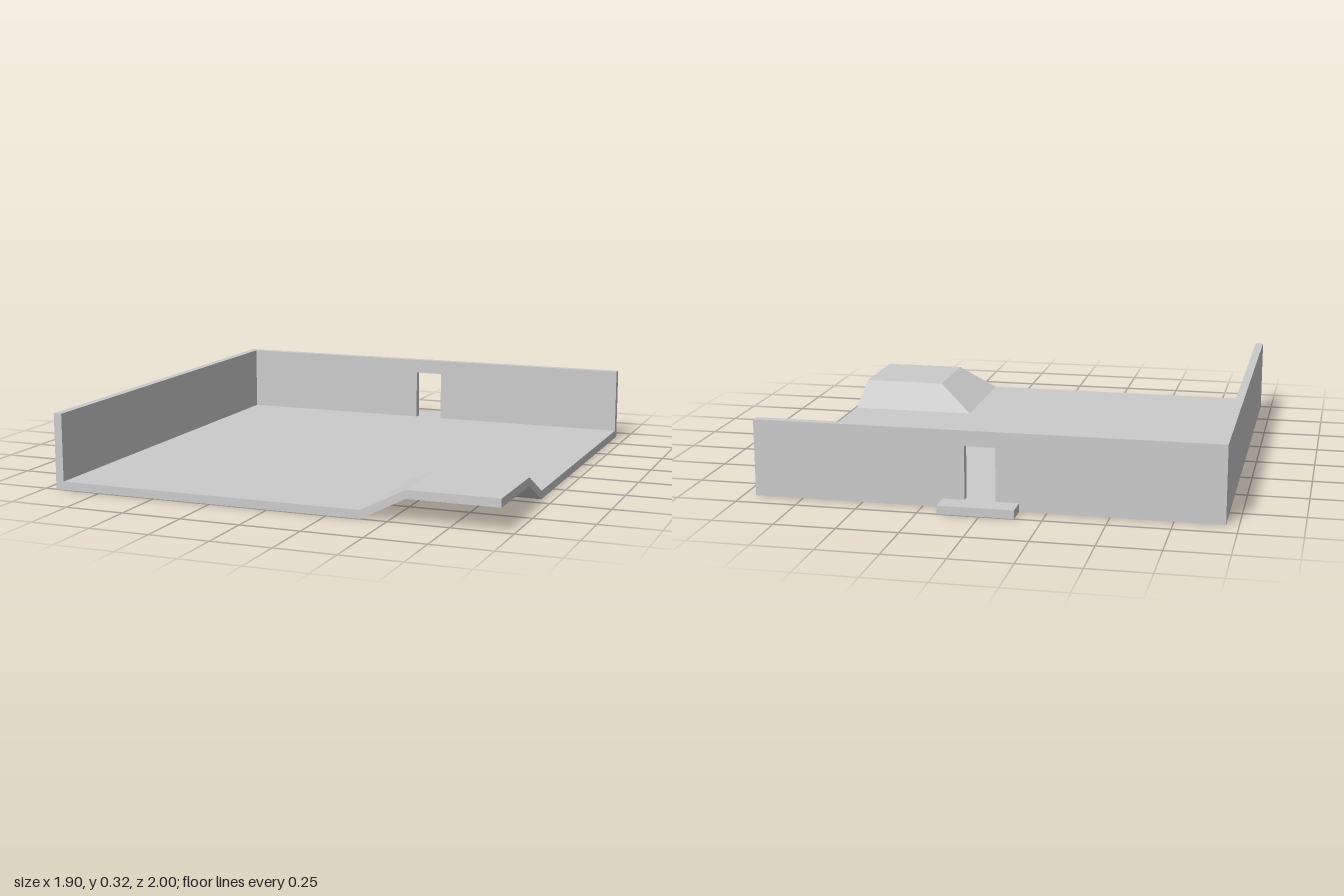
import * as THREE from 'three';

const material = new THREE.MeshStandardMaterial({ color: 0xcccccc, flatShading: true });
const THICK = 0.035, RISE = 0.095, HEIGHT = 0.318;
const X0 = -0.95, X1 = 0.95, Z0 = -0.905, Z1 = 1;

// Floor slab of constant thickness, lifted by ramps into a raised corner platform
function floorGeometry() {
  const xs = [X0, 0.39, 0.575, X1], zs = [Z0, 0.44, 0.625, Z1];
  const pos = [];
  const lift = (i, j) => (i > 1 && j > 1 ? RISE : 0);
  const point = ([i, j], top) => [xs[i], lift(i, j) + (top ? THICK : 0), zs[j]];
  const tri = (a, b, c) => pos.push(...a, ...b, ...c);

  // top and underside, each cell split along the ramp's valley line
  for (let i = 0; i < 3; i++) for (let j = 0; j < 3; j++) {
    const cell = [[i, j], [i, j + 1], [i + 1, j + 1], [i + 1, j]];
    const [a, b, c, d] = cell.map(p => point(p, true));
    tri(a, b, c); tri(a, c, d);
    const [e, f, g, h] = cell.map(p => point(p, false));
    tri(e, g, f); tri(e, h, g);
  }

  // outer rim
  const rim = (p, q) => {
    const a = point(p, false), b = point(q, false), c = point(q, true), d = point(p, true);
    tri(a, b, c); tri(a, c, d);
  };
  for (let k = 0; k < 3; k++) {
    rim([0, k], [0, k + 1]);
    rim([k, 3], [k + 1, 3]);
    rim([3, k + 1], [3, k]);
    rim([k + 1, 0], [k, 0]);
  }
  const g = new THREE.BufferGeometry();
  g.setAttribute('position', new THREE.Float32BufferAttribute(pos, 3));
  g.computeVertexNormals();
  return g;
}

export function createModel() {
  const group = new THREE.Group();
  const add = (name, geometry) => {
    const mesh = new THREE.Mesh(geometry, material);
    mesh.name = name;
    group.add(mesh);
    return mesh;
  };
  const box = (name, x0, x1, y0, y1, z0, z1) =>
    add(name, new THREE.BoxGeometry(x1 - x0, y1 - y0, z1 - z0))
      .position.set((x0 + x1) / 2, (y0 + y1) / 2, (z0 + z1) / 2);

  add('floor', floorGeometry());

  // Back wall with a doorway notched up from the floor
  const outline = [
    [X0, THICK], [-0.045, THICK], [-0.045, 0.255], [0.08, 0.255],
    [0.08, THICK], [X1, THICK], [X1, HEIGHT], [X0, HEIGHT],
  ].map(([x, y]) => new THREE.Vector2(x, y));
  add('backWall', new THREE.ExtrudeGeometry(new THREE.Shape(outline), { depth: THICK, bevelEnabled: false }))
    .position.z = Z0;

  box('sideWall', X0, X0 + THICK, THICK, HEIGHT, Z0 + THICK, Z1);

  // Step outside the doorway
  box('doorStep', -0.14, 0.17, 0, THICK, -1, Z0);

  return group;
}
